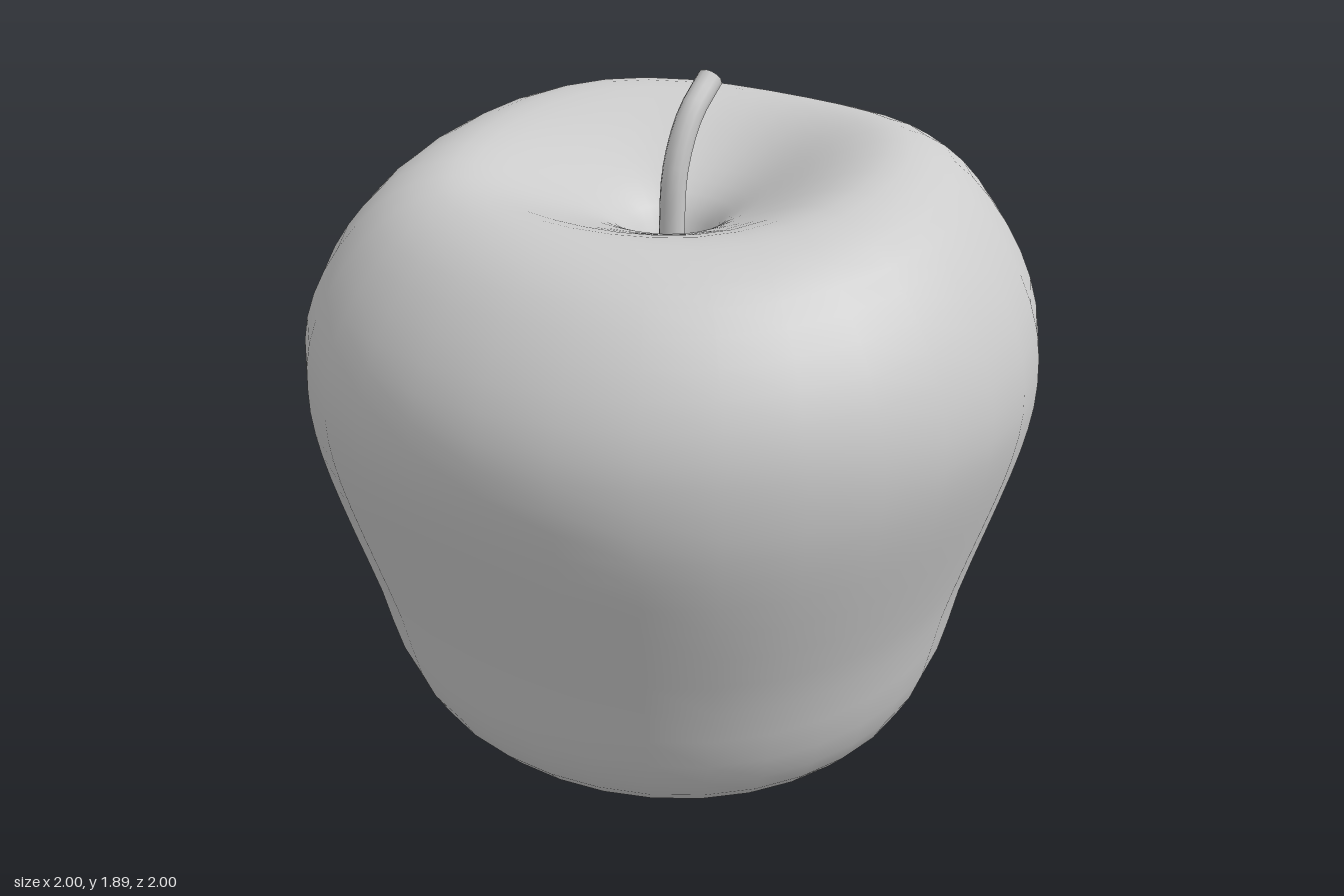
import * as THREE from 'three';
import { mergeVertices } from 'three/addons/utils/BufferGeometryUtils.js';

const material = new THREE.MeshStandardMaterial({ color: 0xcccccc, roughness: 0.7 });
const WAIST = 1.15; // height of the widest ring
const TOP = 1.70, BASE = 0.016; // mean rim heights

// Sum of cosines around the fruit, angle 0 at the front
const wave = (a, c) => c.reduce((sum, k, i) => sum + k * Math.cos(i * a), 0);
const topRim = (a) => wave(a, [TOP, -0.047, -0.01, 0.017]);
const baseRim = (a) => wave(a, [BASE, 0.02, 0.006, -0.003]);

function fruitBody() {
  // Half section from the calyx hollow, over the side, into the stem hollow
  const section = new THREE.SplineCurve([
    [0, 0.26], [0.06, 0.25], [0.12, 0.2], [0.18, 0.11], [0.28, 0.05], [0.42, 0.018],
    [0.52, 0.02], [0.62, 0.06], [0.72, 0.15], [0.79, 0.3], [0.835, 0.5], [0.895, 0.7],
    [0.95, 0.88], [0.985, 1.02], [1, WAIST], [0.985, 1.29], [0.93, 1.43], [0.84, 1.56],
    [0.74, 1.65], [0.63, 1.695], [0.53, 1.695], [0.42, 1.66], [0.3, 1.605], [0.2, 1.555],
    [0.13, 1.505], [0.09, 1.44], [0.05, 1.37], [0, 1.34],
  ].map(([r, y]) => new THREE.Vector2(r, y)));
  const points = section.getPoints(54);
  points.forEach((p) => { p.x = THREE.MathUtils.clamp(p.x, 0, 1); });

  let geometry = new THREE.LatheGeometry(points, 32);
  const pos = geometry.attributes.position;
  for (let i = 0; i < pos.count; i++) {
    let x = pos.getX(i), y = pos.getY(i), z = pos.getZ(i);
    const r = Math.hypot(x, z), a = Math.atan2(x, z);
    // Rounded-square lower half
    if (r > 0.3 && y < WAIST) {
      const w = Math.sin(Math.PI * THREE.MathUtils.clamp(y / WAIST, 0, 1)) * THREE.MathUtils.smoothstep(r, 0.3, 0.7);
      const s = 1 - 0.02 * w * (Math.cos(4 * a) - 0.3);
      x *= s;
      z *= s;
    }
    // Five folds inside the calyx hollow
    if (r < 0.3 && y < 0.5) y += 0.035 * Math.sin(Math.PI * r / 0.3) * Math.cos(5 * a);
    // Uneven rims, fading toward the waist and the hollow centres
    const fade = THREE.MathUtils.smoothstep(r, 0, 0.45);
    if (y > WAIST) y += (topRim(a) - TOP) * fade * Math.min(1, (y - WAIST) / (TOP - WAIST));
    else y += (baseRim(a) - BASE) * fade * Math.min(1, (WAIST - y) / WAIST);
    pos.setXYZ(i, x, Math.max(0, y), z);
  }
  // Weld the seam and poles for smooth shading
  geometry.deleteAttribute('uv');
  geometry.deleteAttribute('normal');
  geometry = mergeVertices(geometry, 1e-4);
  geometry.computeVertexNormals();
  const mesh = new THREE.Mesh(geometry, material);
  mesh.name = 'fruitBody';
  return mesh;
}

function stem() {
  const group = new THREE.Group();
  group.name = 'stem';
  const path = new THREE.CatmullRomCurve3([
    [0, 1.3, 0], [0, 1.5, 0], [0, 1.65, -0.015], [0, 1.78, -0.075], [0, 1.865, -0.165],
  ].map((p) => new THREE.Vector3(...p)));
  const shaft = new THREE.Mesh(new THREE.TubeGeometry(path, 14, 0.035, 12), material);
  shaft.name = 'stemShaft';

  // Slightly domed cut end
  const cap = new THREE.Mesh(new THREE.SphereGeometry(0.035, 12, 4, 0, Math.PI * 2, 0, Math.PI / 2), material);
  cap.name = 'stemTip';
  cap.scale.y = 0.3;
  cap.position.copy(path.getPoint(1));
  cap.quaternion.setFromUnitVectors(new THREE.Vector3(0, 1, 0), path.getTangent(1));
  group.add(shaft, cap);
  return group;
}

export function createModel() {
  const model = new THREE.Group();
  model.name = 'apple';
  model.add(fruitBody(), stem());
  return model;
}
